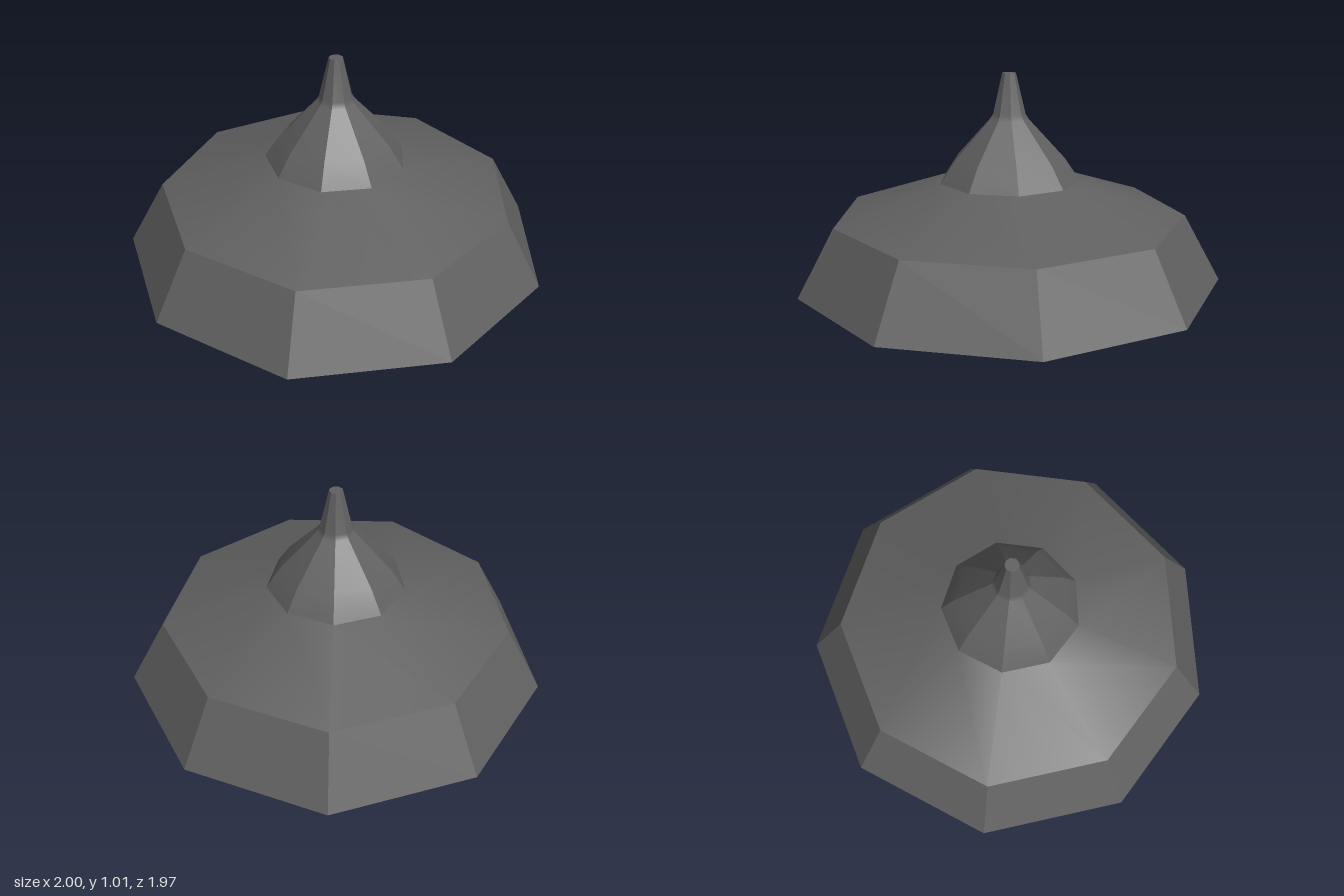
import * as THREE from 'three';
import { mergeGeometries } from 'three/addons/utils/BufferGeometryUtils.js';

const SIDES = 9;

export function createModel() {
  const group = new THREE.Group();
  group.name = 'pendantLamp';
  const faceted = new THREE.MeshStandardMaterial({ color: 0x606060, flatShading: true });
  const smooth = new THREE.MeshStandardMaterial({ color: 0x606060 });
  const pale = new THREE.MeshStandardMaterial({ color: 0xd0d0d0 });

  const toPoints = (profile) => profile.map(([r, y]) => new THREE.Vector2(r, y));

  function addMesh(name, geometry, material) {
    const mesh = new THREE.Mesh(geometry, material);
    mesh.name = name;
    mesh.position.z = 0.03;
    group.add(mesh);
  }

  // Nine-sided ring part from a [radius, height] profile, one corner pointing back
  function addPart(name, profile, material) {
    addMesh(name, new THREE.LatheGeometry(toPoints(profile), SIDES, Math.PI), material);
  }

  // Same ring, but each side is its own strip: sharp upright edges, soft bends in height
  function addRibbedPart(name, profile, material) {
    const step = (Math.PI * 2) / SIDES;
    const strips = [];
    for (let i = 0; i < SIDES; i++) {
      const strip = new THREE.LatheGeometry(toPoints(profile), 1, Math.PI + i * step, step);
      strip.computeVertexNormals();
      strips.push(strip);
    }
    addMesh(name, mergeGeometries(strips), material);
  }

  // Shallow pale diffuser bulging just below the rim
  addPart('diffuser', [[0, 0], [0.39, 0], [0.885, 0.097]], pale);
  // Inner wall, flat rim and sloped outer panels
  addPart('shadeRim', [[0.885, 0.097], [0.885, 0.017], [1.015, 0.017], [0.84, 0.336]], faceted);
  // Gently sloped roof of the shade
  addPart('shadeRoof', [[0.84, 0.336], [0.335, 0.506]], smooth);
  // Tapered neck running into the narrow stem
  addRibbedPart('neckAndStem', [[0.335, 0.506], [0.265, 0.61], [0.093, 0.797], [0.078, 0.822], [0.033, 1.014]], smooth);
  // Closed tip of the stem
  addPart('stemTip', [[0.033, 1.014], [0, 1.014]], faceted);

  return group;
}
